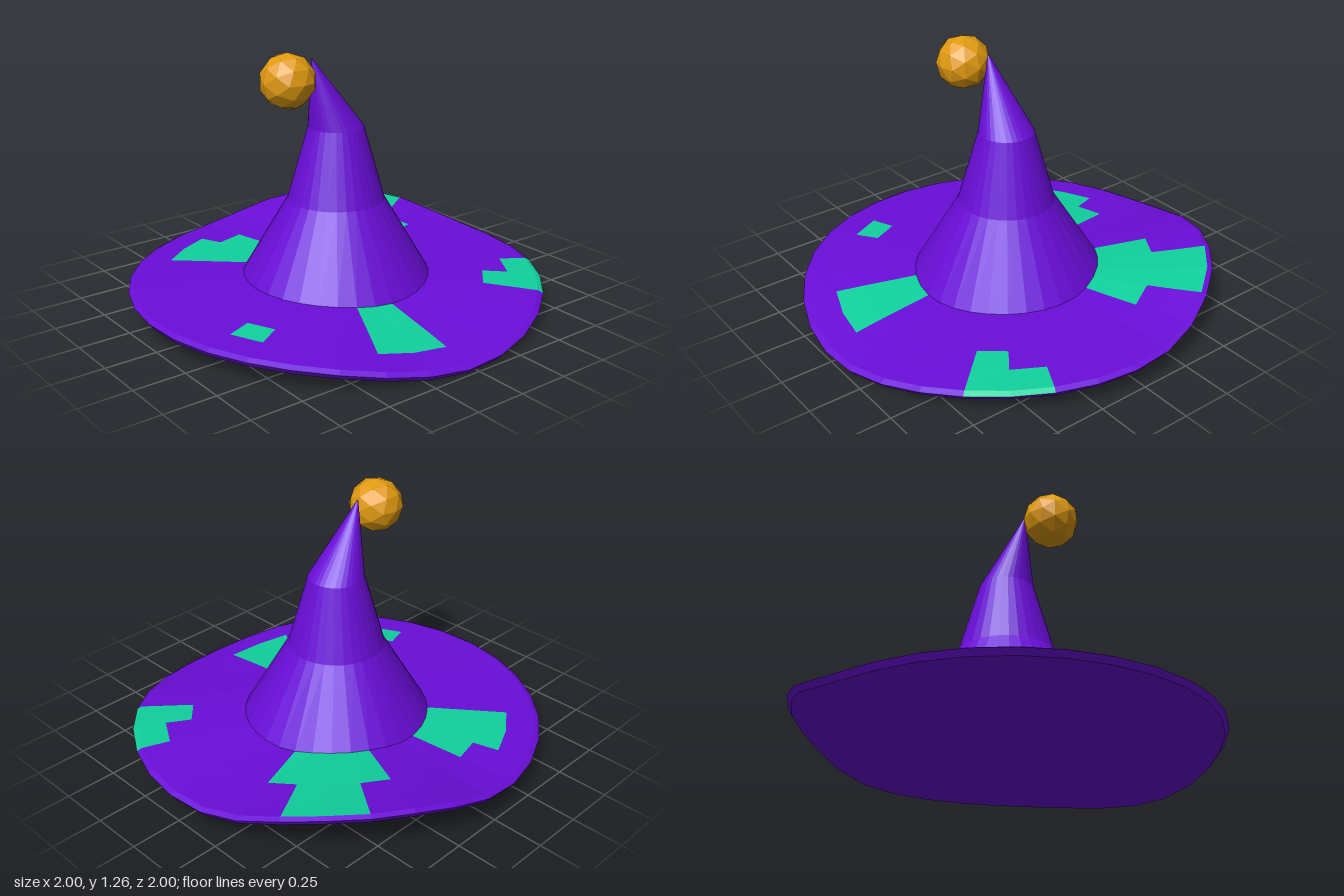
import * as THREE from 'three';

const SEGS = 32;
const angle = (k) => ((3 + 11.25 * k) * Math.PI) / 180; // measured from -z towards +x
const bump = (deg, centre, width, power) => {
  const d = Math.abs(((deg - centre + 540) % 360) - 180);
  return Math.exp(-Math.pow(d / width, power));
};

// Height of the floppy brim: drooping on one side, curled up at the back of the other
function brimHeight(r, k) {
  const deg = 3 + 11.25 * k;
  const warp = 0.12 * bump(deg, -52, 32, 3) - 0.09 * bump(deg, 90, 33, 2);
  return 0.16 - 0.025 * (r - 0.45) / 0.55 + warp * Math.pow(r, 1.7);
}

const ringPoint = (r, k, y, zShift = 0) =>
  new THREE.Vector3(r * Math.sin(angle(k)), y, zShift - r * Math.cos(angle(k)));

// Quad between two rings (inner to outer), facing up and outwards
function addQuad(out, inner, outer, k) {
  const a = inner(k), b = outer(k + 1), c = outer(k), d = inner(k + 1);
  for (const p of [a, b, c, a, d, b]) out.push(p.x, p.y, p.z);
}

function makeMesh(name, positions, color) {
  const geometry = new THREE.BufferGeometry();
  geometry.setAttribute('position', new THREE.Float32BufferAttribute(positions, 3));
  geometry.computeVertexNormals();
  const mesh = new THREE.Mesh(geometry, new THREE.MeshStandardMaterial({ color, flatShading: true }));
  mesh.name = name;
  return mesh;
}

export function createModel() {
  const group = new THREE.Group();
  group.name = 'pointedHat';
  const purple = 0x6a0dd8, teal = 0x10d09c, gold = 0xe09a10;

  // Brim rings: [radius, drop below the top surface]
  const brimRings = [[0.45, 0], [0.715, 0], [0.84, 0], [0.975, 0], [1, 0.012], [0.98, 0.04]]
    .map(([r, drop]) => (k) => ringPoint(r, k, brimHeight(r, k) - drop));
  brimRings.push(() => new THREE.Vector3(0, 0.09, 0)); // flat underside

  // Patched cells: [ring, first segment, end segment]
  const patches = [
    [0, -6, -2], [1, -5, -3], [2, -5, -3],
    [1, 3, 4], [2, 2, 4], [3, 2, 4],
    [0, -12, -9], [1, -12, -10],
    [0, 8, 10], [1, 8, 10],
    [1, 13, 14],
  ];
  const isPatch = (ring, k) => patches.some(([r, a, b]) => r === ring && k >= a && k < b);

  const brim = [], patch = [];
  for (let i = 0; i < brimRings.length - 1; i++)
    for (let k = -SEGS / 2; k < SEGS / 2; k++)
      addQuad(isPatch(i, k) ? patch : brim, brimRings[i], brimRings[i + 1], k);
  group.add(makeMesh('brim', brim, purple), makeMesh('patches', patch, teal));

  // Crown: bent tip down to the brim's inner ring
  const crownRings = [
    (k) => ringPoint(0.001, k, 1.22, 0.14),
    (k) => ringPoint(0.133, k, 0.88),
    (k) => ringPoint(0.232, k, 0.53),
    brimRings[0],
  ];
  const crown = [];
  for (let i = 0; i < crownRings.length - 1; i++)
    for (let k = 0; k < SEGS; k++) addQuad(crown, crownRings[i], crownRings[i + 1], k);
  group.add(makeMesh('crown', crown, purple));

  // Faceted bobble hanging in front of the tip
  const bobble = new THREE.Mesh(
    new THREE.IcosahedronGeometry(0.13, 1),
    new THREE.MeshStandardMaterial({ color: gold, flatShading: true })
  );
  bobble.name = 'bobble';
  bobble.position.set(0.03, 1.14, 0.295);
  group.add(bobble);

  return group;
}
